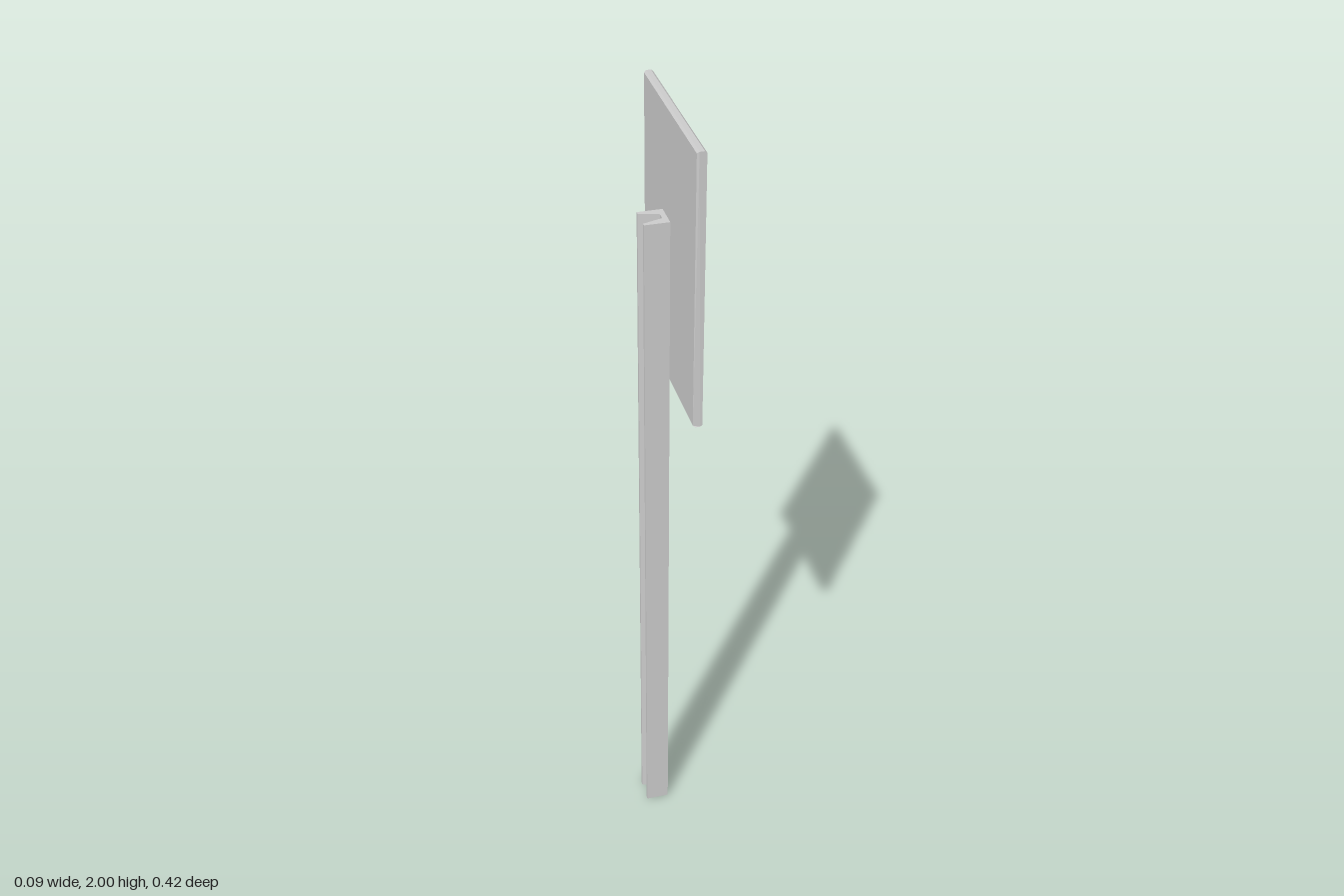
import * as THREE from 'three';

const material = new THREE.MeshStandardMaterial({ color: 0xcccccc, flatShading: true });

// Straight extrusion of a closed outline
function extrude(points, depth) {
  const shape = new THREE.Shape(points.map(([a, b]) => new THREE.Vector2(a, b)));
  return new THREE.ExtrudeGeometry(shape, { depth, bevelEnabled: false });
}

function addPart(group, name, geometry) {
  const mesh = new THREE.Mesh(geometry, material);
  mesh.name = name;
  group.add(mesh);
}

export function createModel() {
  const group = new THREE.Group();
  group.name = 'signPost';

  // Channel post: tapered flanges opening towards -x, section given as (x, z)
  const section = [
    [-0.043, -0.029], [0.015, -0.029], [0.015, 0.034], [-0.043, 0.034],
    [-0.043, 0.026], [0.003, 0.0115], [0.003, -0.0065], [-0.043, -0.021],
  ];
  const post = extrude(section.map(([x, z]) => [x, -z]), 1.76);
  post.rotateX(-Math.PI / 2);
  addPart(group, 'post', post);

  // Sign panel: thin plate with chamfered top and bottom edges, section given as (x, y)
  const x0 = 0.021, x1 = 0.042, y0 = 1.345, y1 = 2, c = 0.005, h = 0.004;
  const panel = extrude([
    [x0, y0 + h], [x0 + c, y0], [x1 - c, y0], [x1, y0 + h],
    [x1, y1 - h], [x1 - c, y1], [x0 + c, y1], [x0, y1 - h],
  ], 0.418);
  panel.translate(0, 0, -0.2095);

  // Slightly ease the rear vertical edges
  const pos = panel.attributes.position;
  for (let i = 0; i < pos.count; i++) {
    if (pos.getX(i) < x0 + 0.001) pos.setZ(i, pos.getZ(i) * 0.988);
  }
  panel.computeVertexNormals();
  addPart(group, 'signPanel', panel);

  return group;
}
